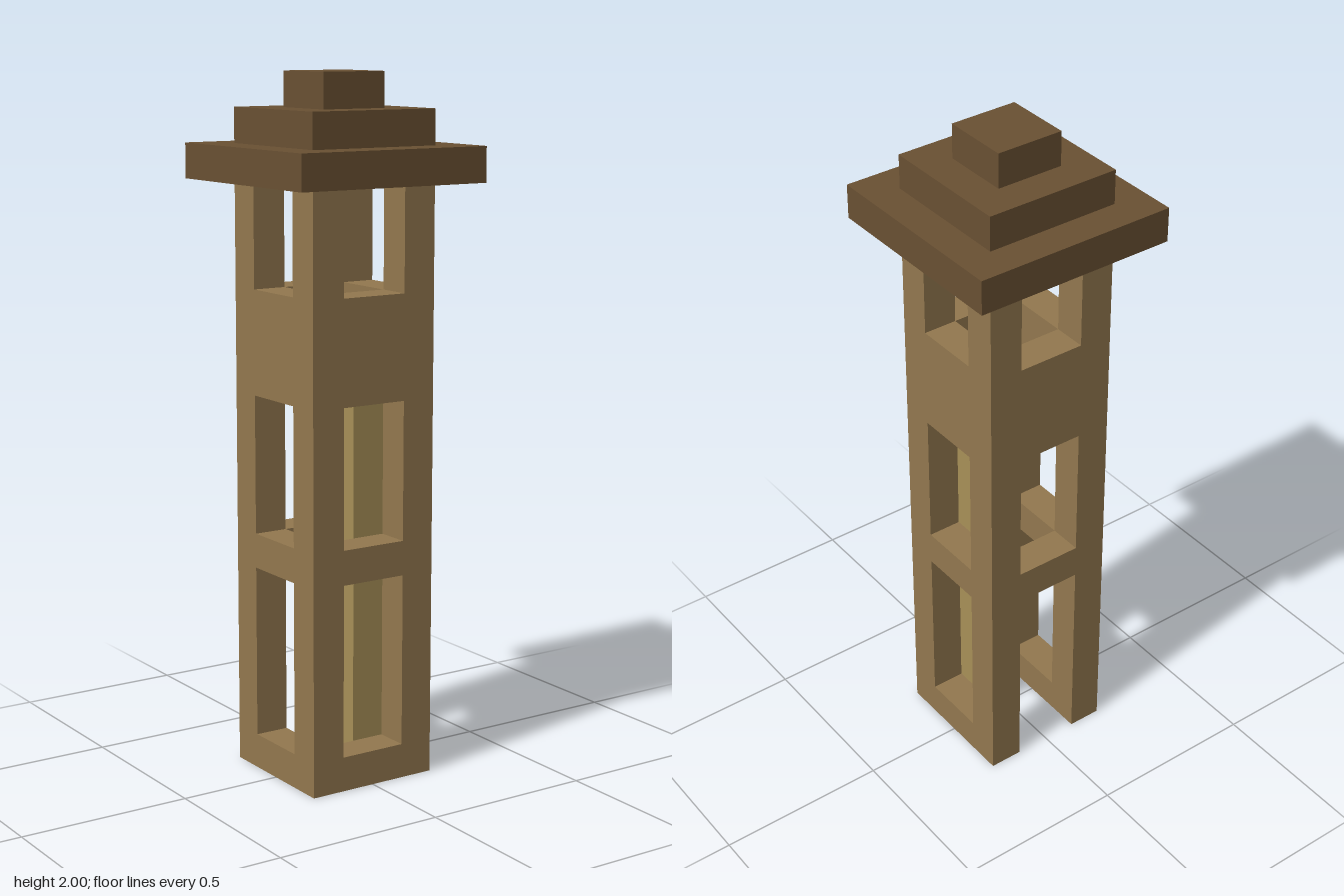
import * as THREE from 'three';

export function createModel() {
  const tower = new THREE.Group();
  tower.name = 'tower';

  const mat = (name, color) => {
    const m = new THREE.MeshStandardMaterial({ color });
    m.name = name;
    return m;
  };
  const wallMat = mat('wallBrown', 0x93784f);
  const roofMat = mat('roofDarkBrown', 0x6a5133);
  const poleMat = mat('poleStraw', 0xa89058);

  const group = (name) => {
    const g = new THREE.Group();
    g.name = name;
    tower.add(g);
    return g;
  };

  // Box given by its centre in plan and its bottom and top heights
  const box = (parent, name, material, w, d, x, z, y0, y1) => {
    const mesh = new THREE.Mesh(new THREE.BoxGeometry(w, y1 - y0, d), material);
    mesh.position.set(x, (y0 + y1) / 2, z);
    mesh.name = name;
    parent.add(mesh);
  };

  // Square slab with a square shaft through it
  const ring = (parent, name, material, outer, inner, y0, y1) => {
    const square = (PathType, s) => new PathType([[-1, -1], [1, -1], [1, 1], [-1, 1]]
      .map(([x, y]) => new THREE.Vector2(x * s / 2, y * s / 2)));
    const shape = square(THREE.Shape, outer);
    shape.holes.push(square(THREE.Path, inner));
    const geo = new THREE.ExtrudeGeometry(shape, { depth: y1 - y0, bevelEnabled: false });
    geo.rotateX(-Math.PI / 2);
    const mesh = new THREE.Mesh(geo, material);
    mesh.position.y = y0;
    mesh.name = name;
    parent.add(mesh);
  };

  // Corner pillars running the full height
  const pillars = group('cornerPillars');
  for (const sx of [-1, 1]) {
    for (const sz of [-1, 1]) {
      box(pillars, 'pillar', wallMat, 0.1, 0.1, sx * 0.15, sz * 0.15, 0, 1.7);
    }
  }

  // Wall bands between the pillars; the back has no sill, leaving a doorway
  const bands = group('wallBands');
  for (const [name, y0, y1] of [['baseSill', 0, 0.1], ['middleBand', 0.6, 0.7], ['upperBand', 1.1, 1.4]]) {
    for (const s of [-1, 1]) {
      box(bands, name, wallMat, 0.1, 0.2, s * 0.15, 0, y0, y1);
      if (s === 1 || y0 > 0) box(bands, name, wallMat, 0.2, 0.1, 0, s * 0.15, y0, y1);
    }
  }

  // Climbing pole in the inner corner of the shaft
  box(tower, 'innerPole', poleMat, 0.1, 0.1, 0.05, 0.05, 0, 1.2);

  // Stepped roof, hollow below the cap
  const roof = group('roof');
  ring(roof, 'roofEaves', roofMat, 0.6, 0.2, 1.7, 1.8);
  ring(roof, 'roofStep', roofMat, 0.4, 0.2, 1.8, 1.9);
  box(roof, 'roofCap', roofMat, 0.2, 0.2, 0, 0, 1.9, 2);

  return tower;
}
